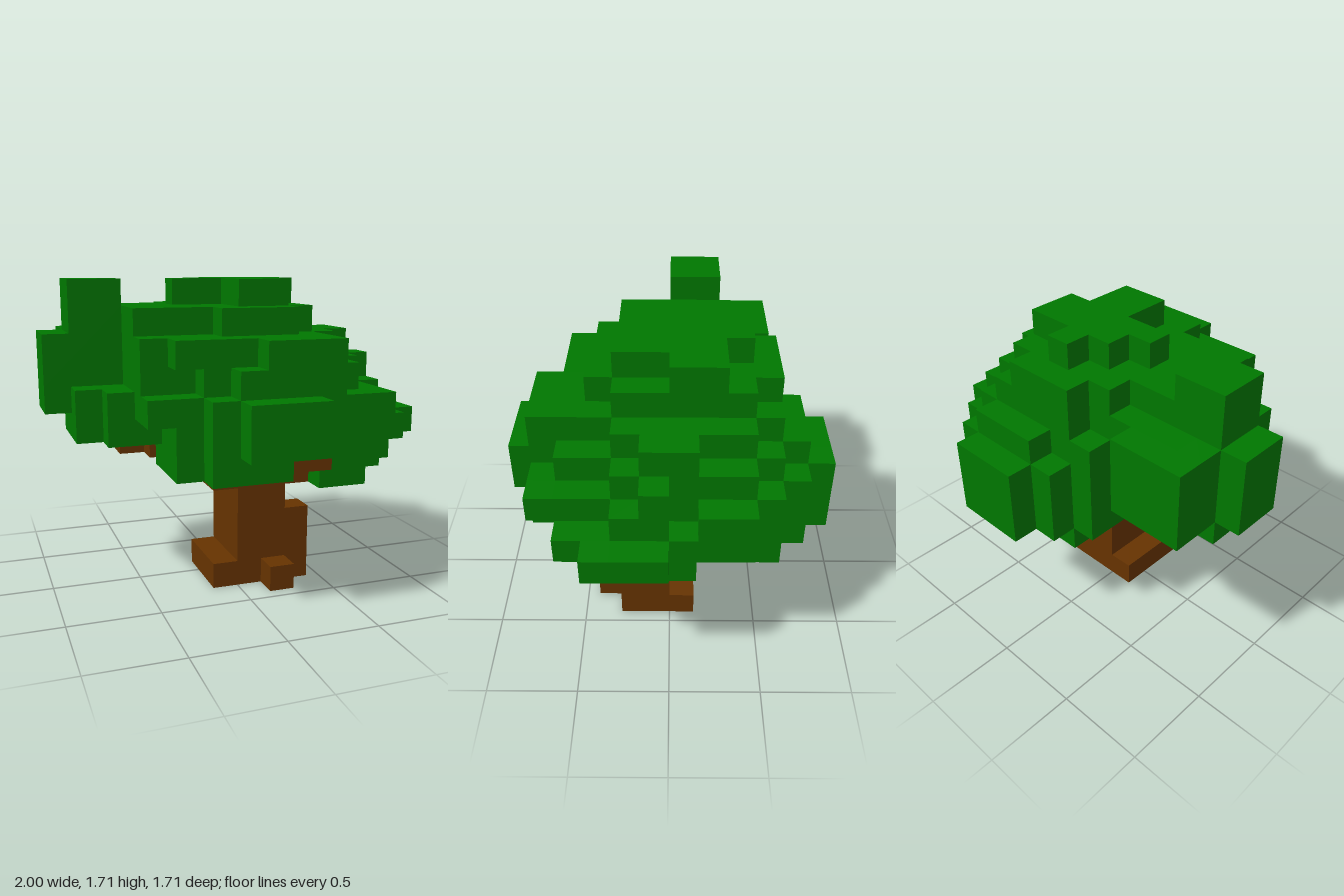
import * as THREE from 'three';

const U = 1 / 7; // edge of one cube

// Each layer: base height, then footprint boxes [x0, x1, z0, z1] in cubes
const woodLayers = {
  0: [[-1, 3, -1, 2], [1, 2, 2, 3]],              // root flare and toe
  1: [[0, 2, -1, 2], [2, 3, 0, 2]],
  2: [[0, 2, -1, 2], [2, 3, 1, 2]],
  3: [[0, 2, -1, 2]],
  4: [[-1, 3, -1, 2], [1, 3, -2, -1]],
  5: [[-2, 3, -1, 1], [-3, -1, -1, 0], [-4, -2, -2, -1], [1, 3, 1, 4], [0, 4, -3, -1]], // branches
};
const leafLayers = {
  4: [[3, 5, -1, 3], [-1, 1, -4, -2]],
  5: [[-3, 1, 1, 4], [-2, 1, 4, 5], [3, 6, 0, 3], [3, 5, -1, 4], [4, 5, -4, -2],
    [-2, 4, -4, -2], [-1, 4, -5, -4], [0, 3, -6, -5]],
  6: [[-6, -3, -2, 1], [-5, 6, -3, 2], [-3, 6, -3, 4], [-2, 5, -4, 4], [-2, 4, 4, 5],
    [-1, 4, -5, -4], [-1, 2, 5, 6], [0, 3, -6, -5], [6, 7, 0, 3]],
  7: [[-7, -4, -2, 0], [-6, -3, -4, -2], [-6, -3, 0, 1], [-5, 5, -3, 2], [-4, 5, -3, 4],
    [5, 6, -3, -1], [5, 6, 0, 2], [-2, 5, -4, 5], [-1, 4, -5, -4],
    [-1, 2, 5, 6], [0, 3, -6, -5]],
  8: [[-7, -4, -2, 0], [-6, -3, -4, -2], [-4, 5, -3, 2], [-4, 4, 2, 3], [5, 6, 0, 1],
    [-2, 4, -4, 4], [0, 3, -5, -4], [-1, 3, 4, 5]],
  9: [[-7, -4, -2, 0], [-6, -3, -4, -2], [-4, 4, -3, 2], [-4, 3, 2, 3], [4, 5, -1, 1],
    [-1, 3, -4, 4], [-3, -1, 3, 4], [0, 3, 4, 5]],
  10: [[-6, -4, -2, 0], [-4, 3, -2, 2], [-2, 3, -3, 2], [-1, 2, -4, 3]],
  11: [[-6, -4, -2, 0], [0, 1, -3, -2], [-1, 3, -2, -1], [-2, 3, -1, 0], [0, 2, 0, 2]],
};

// Fill a set of cubes from the layer footprints
function fill(layers, blocked = new Set()) {
  const cells = new Set();
  for (const [y, boxes] of Object.entries(layers))
    for (const [x0, x1, z0, z1] of boxes)
      for (let x = x0; x < x1; x++)
        for (let z = z0; z < z1; z++) {
          const key = `${x},${y},${z}`;
          if (!blocked.has(key)) cells.add(key);
        }
  return cells;
}

// Build only the faces that border an empty cell
function cubeSurface(cells, solid) {
  const pos = [], nor = [], idx = [];
  for (const key of cells) {
    const c = key.split(',').map(Number);
    for (let axis = 0; axis < 3; axis++)
      for (const dir of [-1, 1]) {
        const next = [...c];
        next[axis] += dir;
        if (solid.has(next.join(','))) continue;
        const u = (axis + 1) % 3, v = (axis + 2) % 3, base = pos.length / 3;
        for (const [a, b] of [[0, 0], [1, 0], [1, 1], [0, 1]]) {
          const p = [...c], n = [0, 0, 0];
          if (dir > 0) p[axis] += 1;
          p[u] += a;
          p[v] += b;
          n[axis] = dir;
          pos.push(...p.map((k) => k * U));
          nor.push(...n);
        }
        const order = dir > 0 ? [0, 1, 2, 0, 2, 3] : [0, 2, 1, 0, 3, 2];
        idx.push(...order.map((k) => base + k));
      }
  }
  const g = new THREE.BufferGeometry();
  g.setAttribute('position', new THREE.Float32BufferAttribute(pos, 3));
  g.setAttribute('normal', new THREE.Float32BufferAttribute(nor, 3));
  g.setIndex(idx);
  return g;
}

export function createModel() {
  const bark = new THREE.MeshStandardMaterial({ color: 0x663300 });
  bark.name = 'bark brown';
  const leaf = new THREE.MeshStandardMaterial({ color: 0x007700 });
  leaf.name = 'leaf green';

  const wood = fill(woodLayers);
  const leaves = fill(leafLayers, wood);
  const solid = new Set([...wood, ...leaves]);

  const tree = new THREE.Group();
  tree.name = 'tree';
  // Trunk with roots and branches
  const trunk = new THREE.Mesh(cubeSurface(wood, solid), bark);
  trunk.name = 'trunkAndBranches';
  // Leafy crown
  const crown = new THREE.Mesh(cubeSurface(leaves, solid), leaf);
  crown.name = 'crown';
  tree.add(trunk, crown);
  return tree;
}
